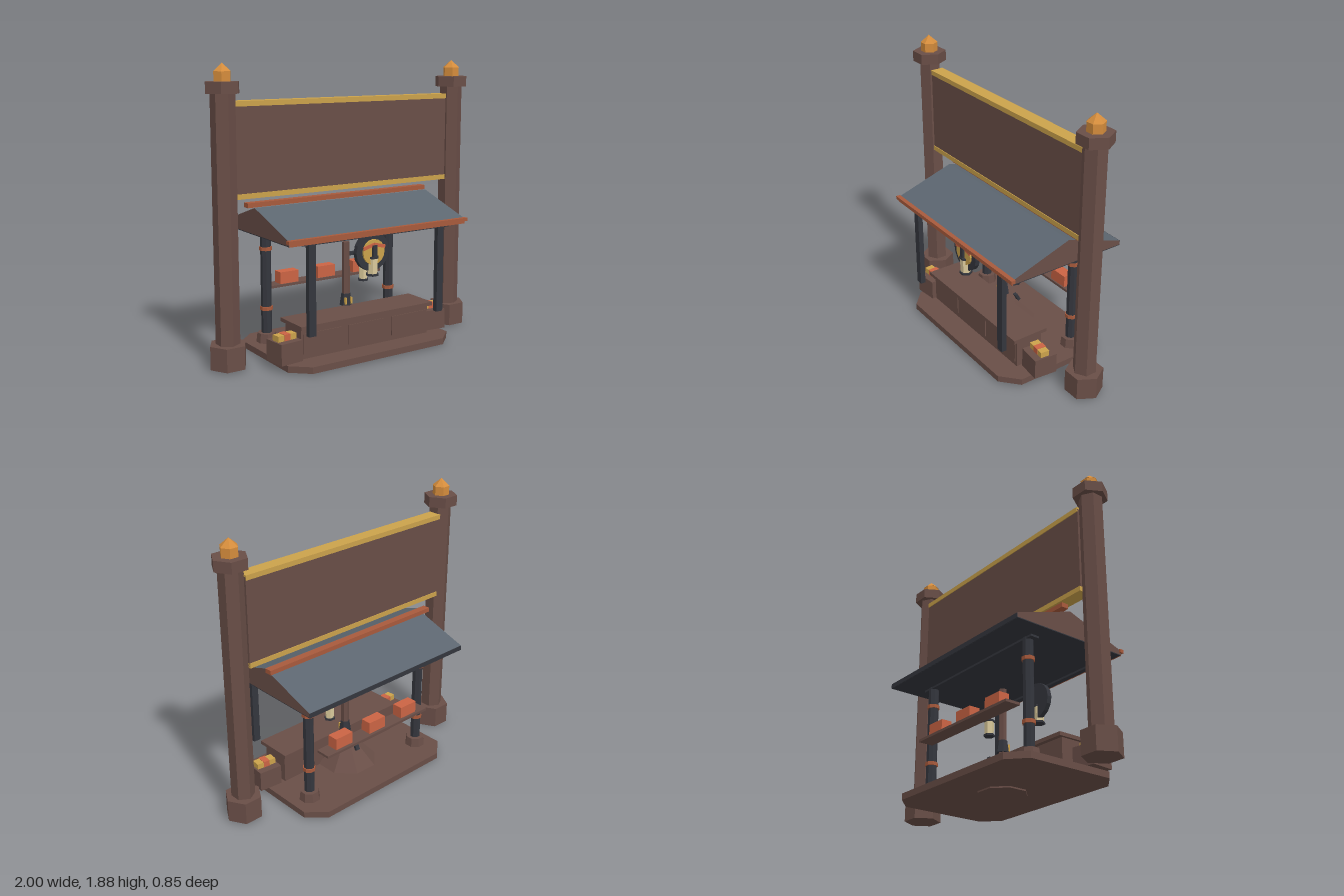
import * as THREE from 'three';

const paint = (name, color) => {
  const m = new THREE.MeshStandardMaterial({ color, flatShading: true });
  m.name = name;
  return m;
};

export function createModel() {
  const wood = paint('brown wood', 0x694e47);
  const slate = paint('slate', 0x5c6670);
  const iron = paint('dark iron', 0x34363d);
  const terracotta = paint('terracotta', 0xa85a3c);
  const red = paint('red crate', 0xcb6444);
  const gold = paint('gold', 0xcba24b);
  const amber = paint('amber', 0xd48c3c);
  const cream = paint('cream', 0xdccb9c);

  const model = new THREE.Group();
  model.name = 'marketStall';

  const add = (name, geo, mat, x, y, z, parent = model) => {
    const mesh = new THREE.Mesh(geo, mat);
    mesh.name = name;
    mesh.position.set(x, y, z);
    parent.add(mesh);
    return mesh;
  };
  // Box given by its extents on each axis
  const box = (name, mat, x0, x1, y0, y1, z0, z1, parent) =>
    add(name, new THREE.BoxGeometry(x1 - x0, y1 - y0, z1 - z0), mat,
      (x0 + x1) / 2, (y0 + y1) / 2, (z0 + z1) / 2, parent);
  // Upright prism given by bottom and top heights
  const prism = (name, mat, rTop, rBottom, y0, y1, x, z, sides = 6, turn = 0, parent) => {
    const mesh = add(name, new THREE.CylinderGeometry(rTop, rBottom, y1 - y0, sides), mat,
      x, (y0 + y1) / 2, z, parent);
    mesh.rotation.y = turn;
    return mesh;
  };

  // Tall sign pillars with glowing finials
  for (const s of [-1, 1]) {
    const x = s * 0.878;
    prism('pillarBase', wood, 0.122, 0.122, 0.01, 0.16, x, 0, 6, Math.PI / 6);
    prism('pillar', wood, 0.076, 0.076, 0.16, 1.7, x, 0);
    prism('pillarCap', wood, 0.112, 0.112, 1.7, 1.77, x, 0, 6, Math.PI / 6);
    prism('finialLamp', amber, 0.056, 0.056, 1.77, 1.83, x, 0, 6, Math.PI / 6);
    prism('finialTip', amber, 0, 0.058, 1.83, 1.88, x, 0, 6, Math.PI / 6);
  }

  // Blank sign board with gold rails
  box('signBoard', wood, -0.815, 0.815, 1.07, 1.64, -0.055, 0.025);
  box('signRailTop', gold, -0.815, 0.815, 1.62, 1.652, -0.06, 0.03);
  box('signRailBottom', gold, -0.815, 0.815, 1.058, 1.09, -0.06, 0.03);

  // Platform with cut corners
  const deck = new THREE.Shape();
  [[-0.627, -0.3], [-0.51, -0.405], [0.51, -0.405], [0.627, -0.3],
    [0.627, 0.3], [0.51, 0.405], [-0.51, 0.405], [-0.627, 0.3]]
    .forEach(([x, y], i) => (i ? deck.lineTo(x, y) : deck.moveTo(x, y)));
  const deckGeo = new THREE.ExtrudeGeometry(deck, { depth: 0.042, bevelEnabled: false });
  deckGeo.rotateX(-Math.PI / 2);
  add('platform', deckGeo, wood, 0, 0.01, 0);
  prism('platformFoot', wood, 0.16, 0.16, 0, 0.012, 0, 0, 8, Math.PI / 8);

  // Gabled roof: brown ends, slate slopes
  const gable = new THREE.Shape();
  gable.moveTo(-0.41, 0.822);
  gable.lineTo(0.425, 0.822);
  gable.lineTo(0.425, 0.85);
  gable.lineTo(0.01, 0.99);
  gable.lineTo(-0.41, 0.85);
  gable.closePath();
  const roofGeo = new THREE.ExtrudeGeometry(gable, { depth: 1.344, bevelEnabled: false });
  roofGeo.rotateY(Math.PI / 2);
  add('roof', roofGeo, [wood, slate], -0.672, 0, 0);
  box('roofUnderside', iron, -0.671, 0.671, 0.817, 0.8225, -0.424, 0.409);
  box('rearEaveEdge', iron, -0.671, 0.671, 0.818, 0.849, -0.428, -0.424);
  box('frontEaveTrim', terracotta, -0.671, 0.671, 0.817, 0.836, 0.405, 0.413);
  box('frontEaveBar', terracotta, -0.683, 0.683, 0.834, 0.856, 0.395, 0.425);
  box('ridgeBar', terracotta, -0.697, 0.697, 0.985, 1.015, -0.1, -0.05);

  // Roof posts and beams
  for (const s of [-1, 1]) {
    const x = s * 0.495;
    box('frontPost', iron, x - 0.025, x + 0.025, 0.235, 0.82, 0.345, 0.38);
    prism('rearPost', iron, 0.035, 0.035, 0.11, 0.82, x, -0.2, 8, Math.PI / 8);
    prism('rearPostBase', wood, 0.062, 0.07, 0.05, 0.115, x, -0.2, 8, Math.PI / 8);
    for (const y of [0.28, 0.68])
      prism('rearPostRing', terracotta, 0.042, 0.042, y - 0.012, y + 0.012, x, -0.2, 8, Math.PI / 8);
  }
  box('rearBeam', iron, -0.56, 0.56, 0.803, 0.82, -0.23, -0.17);
  box('frontBeam', iron, -0.56, 0.56, 0.803, 0.82, 0.347, 0.378);

  // Counter with three framed panels
  box('counter', wood, -0.497, 0.497, 0.05, 0.25, 0.05, 0.245);
  box('counterTop', wood, -0.515, 0.515, 0.248, 0.272, 0.02, 0.278);
  for (const x of [-0.34, 0, 0.34])
    box('counterPanel', wood, x - 0.142, x + 0.142, 0.083, 0.215, 0.244, 0.251);

  // Side crates holding gold parcels with a red band
  for (const [x, z, turn] of [[-0.59, 0.2, 0.1], [0.598, 0.14, -0.1]]) {
    const crate = new THREE.Group();
    crate.name = 'sideCrate';
    crate.position.set(x, 0, z);
    crate.rotation.y = turn;
    model.add(crate);
    box('crateBody', wood, -0.08, 0.08, 0.052, 0.188, -0.08, 0.08, crate);
    box('parcel', gold, -0.068, 0.068, 0.188, 0.226, -0.03, 0.03, crate);
    box('parcelBand', red, -0.022, 0.022, 0.188, 0.229, -0.033, 0.033, crate);
  }

  // Rear shelf with red boxes
  box('shelf', wood, -0.45, 0.45, 0.393, 0.41, -0.335, -0.23);
  for (const x of [-0.293, 0, 0.293])
    box('shelfBox', red, x - 0.07, x + 0.07, 0.41, 0.49, -0.315, -0.24);

  // Central stand: sloped foot, collar and pole
  prism('standFoot', wood, 0.07, 0.21, 0.05, 0.2, 0, -0.02, 8, Math.PI / 8);
  prism('standPole', wood, 0.025, 0.028, 0.19, 0.7, 0, 0, 6);
  prism('standCollar', iron, 0.03, 0.042, 0.27, 0.35, 0, 0, 6);
  for (const s of [-1, 1])
    box('collarInlay', gold, s * 0.022 - 0.006, s * 0.022 + 0.006, 0.28, 0.325, 0.022, 0.036);
  const lever = box('footLever', iron, -0.015, 0.015, 0.165, 0.22, -0.125, -0.105);
  lever.rotation.x = 0.5;

  // Lanterns
  const lantern = (x, z, y0, y1, r) => {
    prism('lanternBase', iron, r * 1.15, r * 1.15, y0, y0 + 0.014, x, z, 6, Math.PI / 6);
    prism('lanternGlass', cream, r, r * 0.9, y0 + 0.014, y1 - 0.014, x, z, 6, Math.PI / 6);
    prism('lanternCap', iron, r * 1.15, r * 1.15, y1 - 0.014, y1, x, z, 6, Math.PI / 6);
  };
  lantern(0.14, 0, 0.418, 0.53, 0.032);
  box('lanternCord', iron, 0.136, 0.144, 0.53, 0.62, -0.005, 0.005);
  box('lanternArm', iron, 0, 0.152, 0.605, 0.628, -0.012, 0.012);
  lantern(0, 0.303, 0.535, 0.662, 0.038);
  box('lanternHanger', iron, -0.016, 0.016, 0.66, 0.735, 0.3, 0.336);

  // Round hanging emblem
  const disc = (name, mat, r, z0, z1) => {
    const mesh = add(name, new THREE.CylinderGeometry(r, r, z1 - z0, 16), mat, 0, 0.69, (z0 + z1) / 2);
    mesh.rotation.x = Math.PI / 2;
  };
  disc('emblemRim', iron, 0.126, 0.275, 0.308);
  disc('emblemFace', gold, 0.082, 0.308, 0.322);
  for (const s of [-1, 1]) {
    const stripe = box('emblemStripe', red, s * 0.042 - 0.042, s * 0.042 + 0.042, 0.718, 0.74, 0.32, 0.328);
    stripe.rotation.z = -s * 0.25;
  }
  return model;
}
